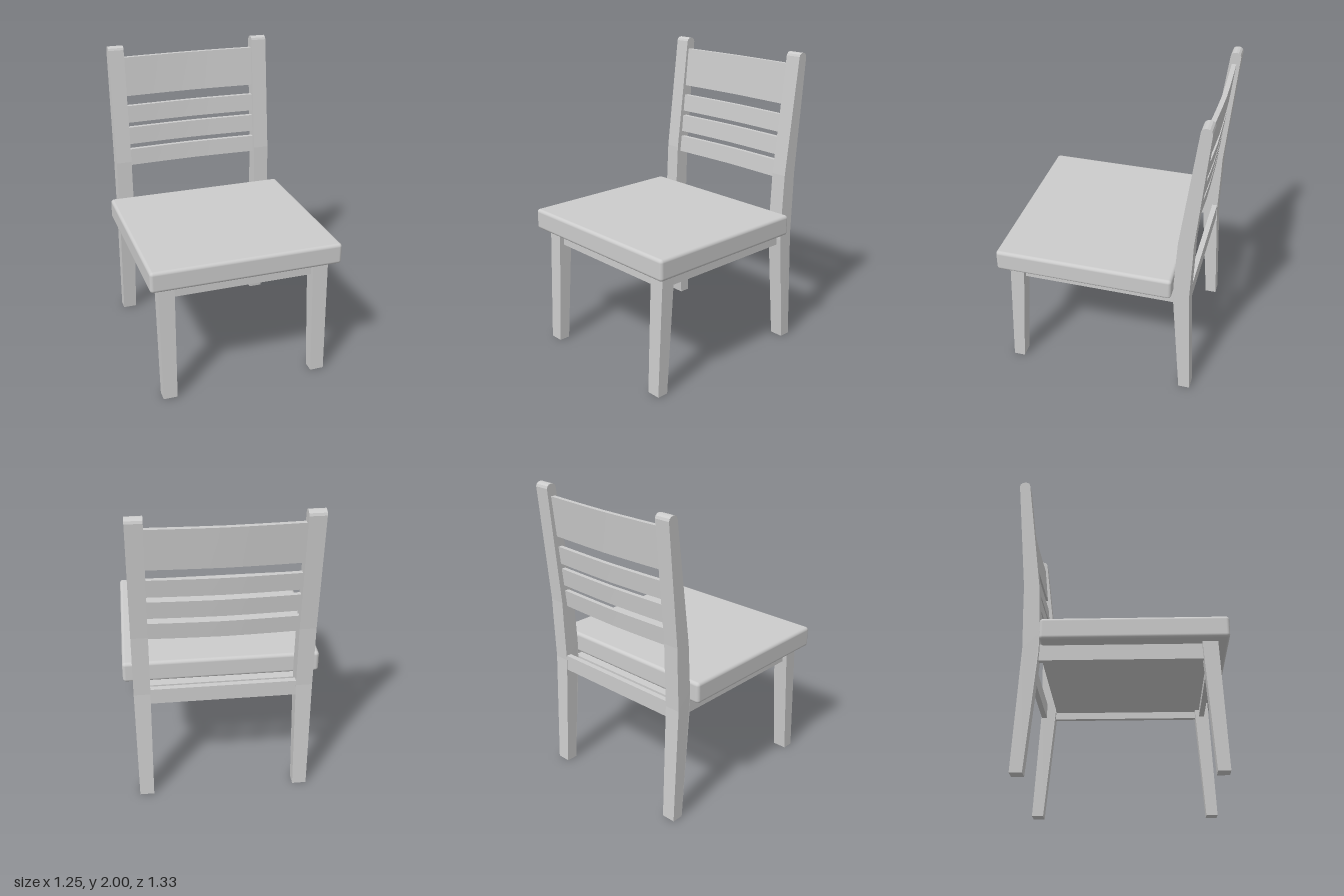
import * as THREE from 'three';
import { RoundedBoxGeometry } from 'three/addons/geometries/RoundedBoxGeometry.js';

const material = new THREE.MeshStandardMaterial({ color: 0xcccccc });
const LEG_X = 0.5125, LEG_W = 0.105;
const APRON_Y = 0.76, APRON_H = 0.105, APRON_T = 0.035;

function addMesh(group, name, geometry, x = 0, y = 0, z = 0) {
  const mesh = new THREE.Mesh(geometry, material);
  mesh.name = name;
  mesh.position.set(x, y, z);
  group.add(mesh);
  return mesh;
}

// Extrudes a side profile (z, y) across x and narrows its foot slightly
function legGeometry(shape) {
  const geo = new THREE.ExtrudeGeometry(shape, { depth: LEG_W, bevelEnabled: false, curveSegments: 6 });
  geo.rotateY(-Math.PI / 2);
  geo.translate(LEG_W / 2, 0, 0);
  const p = geo.attributes.position;
  for (let i = 0; i < p.count; i++) {
    const t = Math.min(p.getY(i) / 0.75, 1);
    p.setX(i, p.getX(i) * (0.88 + 0.12 * t));
  }
  geo.computeVertexNormals();
  return geo;
}

// Slat that follows the lean of the posts and bows backward in the middle
function slatGeometry(y0, y1) {
  const width = 0.94;
  const geo = new THREE.BoxGeometry(width, y1 - y0, 0.03, 6, 1, 1);
  geo.translate(0, (y0 + y1) / 2, 0);
  const p = geo.attributes.position;
  for (let i = 0; i < p.count; i++) {
    const u = Math.abs(p.getX(i)) / (width / 2);
    const lean = -0.548 - 0.104 * (p.getY(i) - 1.2);
    p.setZ(i, p.getZ(i) + lean - 0.015 * (1 - Math.pow(u, 1.4)));
  }
  geo.computeVertexNormals();
  return geo;
}

export function createModel() {
  const chair = new THREE.Group();
  chair.name = 'chair';

  // Seat cushion and the board below it, framed by the aprons
  addMesh(chair, 'seat', new RoundedBoxGeometry(1.255, 0.14, 1.15, 4, 0.022), 0, 0.877, 0.09);
  addMesh(chair, 'seatBoard', new THREE.BoxGeometry(1, 0.02, 1.03), 0, 0.765, 0.03);

  // Front leg profile
  const front = new THREE.Shape();
  front.moveTo(0.555, 0);
  front.lineTo(0.63, 0);
  front.lineTo(0.595, 0.815);
  front.lineTo(0.5, 0.815);
  front.closePath();

  // Back post profile: splayed foot, leaning back, rounded top
  const back = new THREE.Shape();
  back.moveTo(-0.628, 0);
  back.lineTo(-0.552, 0);
  back.lineTo(-0.49, 0.75);
  back.lineTo(-0.488, 0.88);
  back.lineTo(-0.503, 1.2);
  back.lineTo(-0.598, 1.975);
  back.bezierCurveTo(-0.602, 2.008, -0.664, 2.008, -0.666, 1.97);
  back.lineTo(-0.6, 1.2);
  back.lineTo(-0.598, 1.08);
  back.lineTo(-0.589, 0.78);
  back.closePath();

  const frontGeo = legGeometry(front);
  const backGeo = legGeometry(back);
  for (const [side, s] of [['left', 1], ['right', -1]]) {
    addMesh(chair, side + 'FrontLeg', frontGeo, s * LEG_X);
    addMesh(chair, side + 'BackPost', backGeo, s * LEG_X);
    addMesh(chair, side + 'Apron', new THREE.BoxGeometry(APRON_T, APRON_H, 1.02), s * LEG_X, APRON_Y, 0.005);
  }

  // Front and back aprons
  for (const [name, z] of [['frontApron', 0.55], ['backApron', -0.57]]) {
    addMesh(chair, name, new THREE.BoxGeometry(0.94, APRON_H, APRON_T), 0, APRON_Y, z);
  }

  // Back slats: three narrow ones and a wide top rail
  const slats = [[1.167, 1.28], [1.318, 1.435], [1.47, 1.587], [1.657, 1.92]];
  slats.forEach(([y0, y1], i) => {
    addMesh(chair, i < 3 ? 'backSlat' + (i + 1) : 'topRail', slatGeometry(y0, y1));
  });

  return chair;
}
